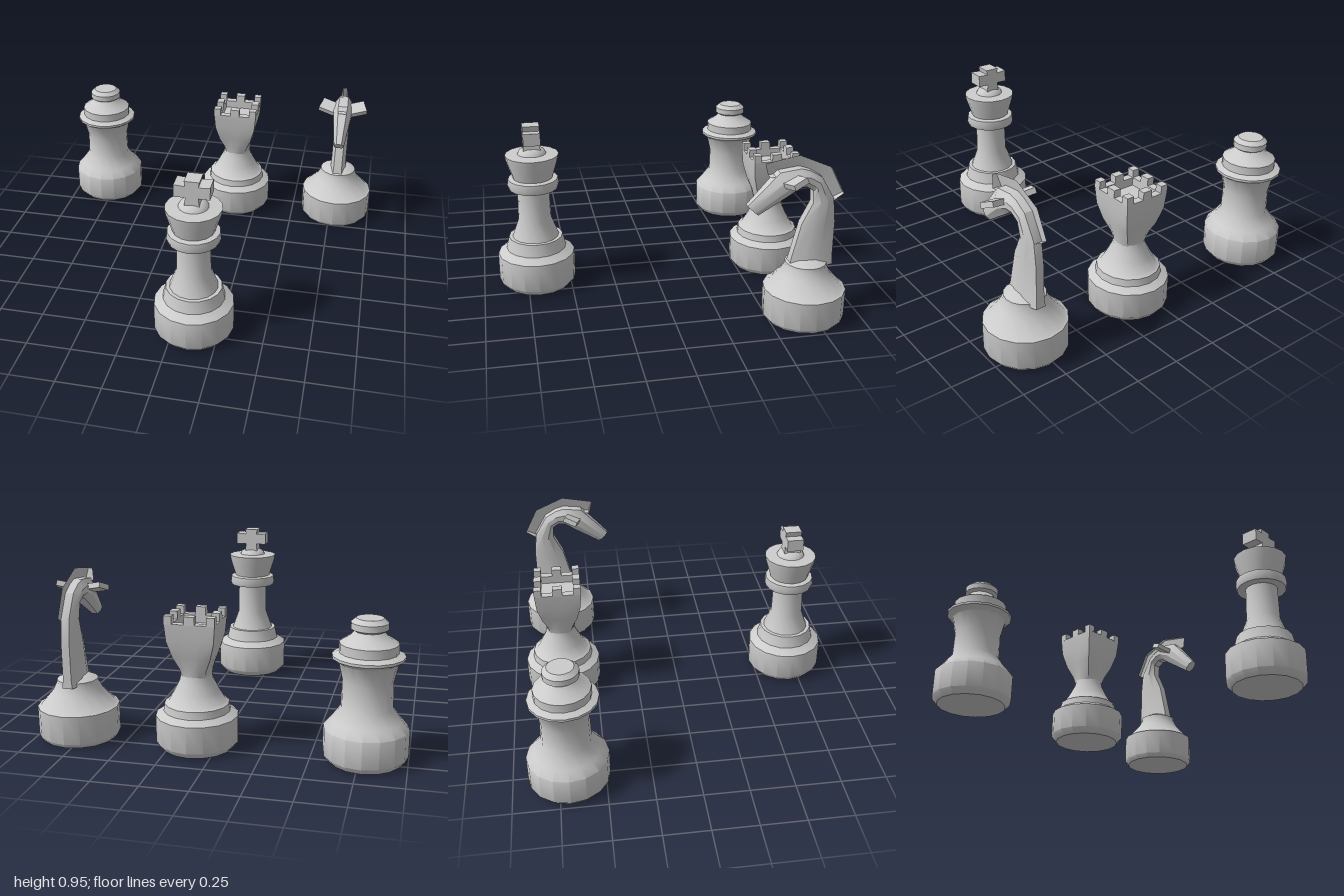
import * as THREE from 'three';
import { toCreasedNormals } from 'three/addons/utils/BufferGeometryUtils.js';

const material = new THREE.MeshStandardMaterial({ color: 0xcccccc });

function add(parent, name, geometry, x = 0, y = 0, z = 0) {
  const mesh = new THREE.Mesh(geometry, material);
  mesh.name = name;
  mesh.position.set(x, y, z);
  parent.add(mesh);
  return mesh;
}

// Turned part from [radius, height] pairs, listed bottom to top
function turned(profile, sides = 16) {
  const points = profile.map(([r, y]) => new THREE.Vector2(r, y));
  return toCreasedNormals(new THREE.LatheGeometry(points, sides), 0.72);
}

// Closed skin over rings of [x, y, z] points, capped at both ends
function loft(rings, crease) {
  const n = rings[0].length;
  const index = [];
  for (let i = 0; i < rings.length - 1; i++) {
    for (let j = 0; j < n; j++) {
      const k = (j + 1) % n;
      const a = i * n + j, b = i * n + k, c = b + n, d = a + n;
      index.push(a, b, c, a, c, d);
    }
  }
  const last = (rings.length - 1) * n;
  for (let j = 1; j < n - 1; j++) {
    index.push(0, j + 1, j, last, last + j, last + j + 1);
  }
  const geometry = new THREE.BufferGeometry();
  geometry.setAttribute('position', new THREE.Float32BufferAttribute(rings.flat(2), 3));
  geometry.setIndex(index);
  return toCreasedNormals(geometry, crease);
}

function piece(name, x, z) {
  const group = new THREE.Group();
  group.name = name;
  group.position.set(x, 0, z);
  return group;
}

const foot = [[0, 0], [0.19, 0], [0.22, 0.035], [0.22, 0.18]];

function createBishop() {
  const group = piece('bishop', -0.78, -0.695);
  add(group, 'bishopBody', turned([
    ...foot, [0.18, 0.225], [0.133, 0.29], [0.13, 0.43], [0.152, 0.525],
    [0.165, 0.535], [0.185, 0.548], [0.185, 0.562], [0.15, 0.577],
    [0.15, 0.625], [0.095, 0.66], [0.075, 0.685], [0.095, 0.697],
    [0.095, 0.73], [0.07, 0.752], [0, 0.752],
  ]));
  return group;
}

function createKing() {
  const group = piece('king', 0.11, 0.69);
  add(group, 'kingBody', turned([
    ...foot, [0.218, 0.195], [0.17, 0.225], [0.153, 0.295], [0.132, 0.295],
    [0.094, 0.4], [0.09, 0.588], [0.138, 0.588], [0.145, 0.61], [0.14, 0.645],
    [0.112, 0.65], [0.145, 0.755], [0.15, 0.785], [0.08, 0.79],
    [0.07, 0.81], [0.045, 0.822], [0, 0.822],
  ]));
  // Cross with flared upper post and arms
  const outline = [
    [0.04, 0.81], [0.034, 0.862], [0.094, 0.86], [0.094, 0.93], [0.034, 0.925], [0.04, 0.955],
  ];
  const mirrored = outline.map(([x, y]) => [-x, y]).reverse();
  const shape = new THREE.Shape([...outline, ...mirrored].map(([x, y]) => new THREE.Vector2(x, y)));
  const cross = new THREE.ExtrudeGeometry(shape, { depth: 0.094, bevelEnabled: false });
  add(group, 'kingCross', cross, 0, 0, -0.047);
  return group;
}

function createRook() {
  const group = piece('rook', 0.11, -0.695);
  add(group, 'rookBody', turned([
    ...foot, [0.178, 0.205], [0.172, 0.245], [0.152, 0.255], [0.12, 0.31],
    [0.09, 0.37], [0.082, 0.41], [0, 0.41],
  ]));
  // Head grows from a round neck to a square rim, then drops to the inner floor
  const sections = [
    [0.39, 0.082, 0], [0.44, 0.088, 0.35], [0.51, 0.107, 0.8], [0.6, 0.125, 1],
    [0.695, 0.133, 1], [0.695, 0.092, 1], [0.65, 0.092, 1],
  ];
  const rings = sections.map(([y, half, square]) => Array.from({ length: 16 }, (_, j) => {
    const a = j * Math.PI / 8, c = Math.cos(a), s = Math.sin(a);
    const r = half * THREE.MathUtils.lerp(1, 1 / Math.max(Math.abs(c), Math.abs(s)), square);
    return [r * c, y, -r * s];
  }));
  add(group, 'rookHead', loft(rings, 0.6));
  // Battlements at the corners and the middle of each side
  for (const i of [-1, 0, 1]) {
    for (const k of [-1, 0, 1]) {
      if (!i && !k) continue;
      add(group, 'battlement', new THREE.BoxGeometry(i ? 0.042 : 0.055, 0.045, k ? 0.042 : 0.055),
        i * 0.112, 0.7145, k * 0.112);
    }
  }
  return group;
}

function createKnight() {
  const group = piece('knight', 0.78, -0.695);
  add(group, 'knightBase', turned([
    [0, 0], [0.2, 0], [0.22, 0.025], [0.22, 0.18], [0.205, 0.185], [0.135, 0.265],
    [0.112, 0.31], [0.11, 0.328], [0.06, 0.352], [0, 0.352],
  ]));
  // Neck and head: front z, y, back z, y, half width
  const sections = [
    [0.1, 0.31, -0.14, 0.31, 0.056], [0.09, 0.36, -0.137, 0.36, 0.046],
    [0.044, 0.553, -0.137, 0.553, 0.045], [-0.01, 0.665, -0.122, 0.685, 0.045],
    [-0.007, 0.735, -0.05, 0.807, 0.045], [0.03, 0.76, 0.015, 0.845, 0.048],
    [0.07, 0.757, 0.066, 0.86, 0.052], [0.117, 0.724, 0.176, 0.846, 0.056],
    [0.279, 0.616, 0.337, 0.67, 0.03],
  ];
  const rings = sections.map(([fz, fy, bz, by, w]) => {
    const at = (x, t) => [x * w, fy + (by - fy) * t, fz + (bz - fz) * t];
    return [at(0.55, 0), at(1, 0.3), at(1, 0.65), at(0.5, 1),
      at(-0.5, 1), at(-1, 0.65), at(-1, 0.3), at(-0.55, 0)];
  });
  add(group, 'knightNeckAndHead', loft(rings, 0.5));
  // Mane: a thin crest over the head, narrower at its outer edge
  const crest = [
    [0.225, 0.82, 0.245, 0.885], [0.064, 0.84, 0.064, 0.92],
    [-0.04, 0.79, -0.107, 0.846], [-0.11, 0.665, -0.18, 0.704],
  ];
  const maneRings = crest.map(([iz, iy, oz, oy]) => [
    [0.024, iy, iz], [0.012, oy, oz], [-0.012, oy, oz], [-0.024, iy, iz],
  ]);
  add(group, 'mane', loft(maneRings, 0.5));
  // Ears swept out to both sides
  for (const side of [-1, 1]) {
    const ear = add(group, 'ear', new THREE.BoxGeometry(0.115, 0.03, 0.085), side * 0.08, 0.808, 0.115);
    ear.rotation.set(0.38, side * 0.3, side * 0.1);
  }
  return group;
}

export function createModel() {
  const model = new THREE.Group();
  model.name = 'chessPieces';
  model.add(createBishop(), createKing(), createRook(), createKnight());
  return model;
}
